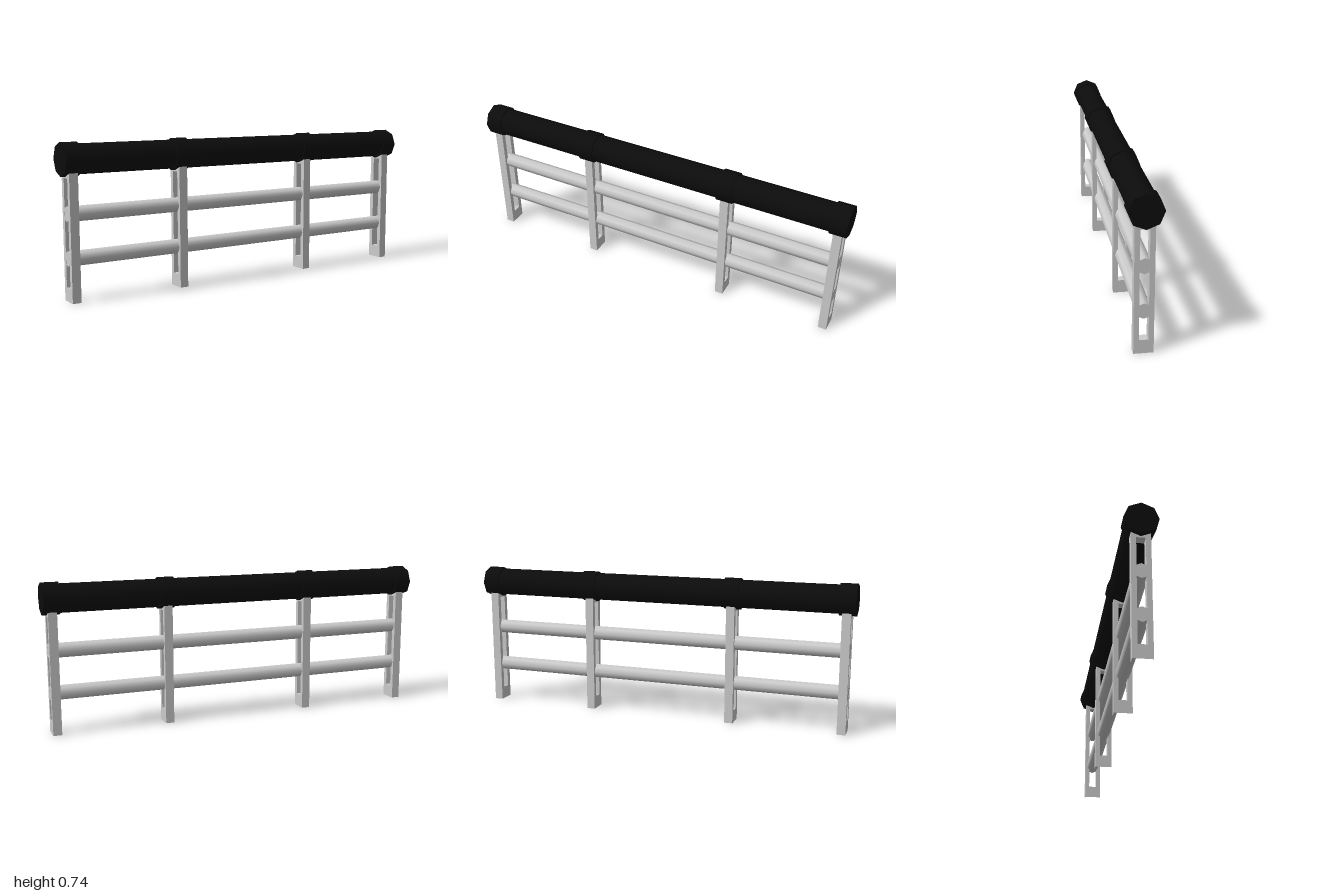
import * as THREE from 'three';

const SIDES = 8;
const POST_X = [-0.955, -0.385, 0.385, 0.955];
const POST_WIDTH = 0.043;
const HANDRAIL_Y = 0.664;

const metal = new THREE.MeshStandardMaterial({ color: 0xcccccc });
const black = new THREE.MeshStandardMaterial({ color: 0x0c0c0c });

// Eight-sided bar lying along x, with a corner at the top
function bar(name, radius, length, x, y, material) {
  const geometry = new THREE.CylinderGeometry(radius, radius, length, SIDES);
  geometry.rotateZ(Math.PI / 2);
  const mesh = new THREE.Mesh(geometry, material);
  mesh.name = name;
  mesh.position.set(x, y, 0);
  return mesh;
}

function rectangle(path, halfWidth, bottom, top) {
  path.moveTo(-halfWidth, bottom);
  path.lineTo(halfWidth, bottom);
  path.lineTo(halfWidth, top);
  path.lineTo(-halfWidth, top);
  path.closePath();
  return path;
}

// Flat post with one long slot, hollow and open at the foot
function postGeometry() {
  const shape = rectangle(new THREE.Shape(), 0.0445, 0, 0.606);
  shape.holes.push(rectangle(new THREE.Path(), 0.021, 0.065, 0.578));
  const solid = new THREE.ExtrudeGeometry(shape, { depth: POST_WIDTH, bevelEnabled: false });
  solid.translate(0, 0, -POST_WIDTH / 2);
  solid.rotateY(Math.PI / 2);

  // Drop the triangles lying on the ground
  const source = solid.getAttribute('position');
  const kept = [];
  for (let i = 0; i < source.count; i += 3) {
    const corners = [i, i + 1, i + 2];
    if (corners.every((c) => source.getY(c) < 1e-4)) continue;
    for (const c of corners) kept.push(source.getX(c), source.getY(c), source.getZ(c));
  }
  const geometry = new THREE.BufferGeometry();
  geometry.setAttribute('position', new THREE.Float32BufferAttribute(kept, 3));
  geometry.computeVertexNormals();
  return geometry;
}

export function createModel() {
  const group = new THREE.Group();
  group.name = 'railing';

  // Padded handrail
  group.add(bar('handrail', 0.071, 1.99, 0, HANDRAIL_Y, black));

  // Posts, each topped by a collar around the handrail
  const geometry = postGeometry();
  for (const x of POST_X) {
    const post = new THREE.Mesh(geometry, metal);
    post.name = 'post';
    post.position.x = x;
    group.add(post);
    const collarX = Math.sign(x) * (Math.abs(x) + 0.0025);
    group.add(bar('collar', 0.079, 0.085, collarX, HANDRAIL_Y, black));
  }

  // Cross rails running through the post slots, ending level with the outer posts
  for (const y of [0.2035, 0.4125]) {
    group.add(bar('crossRail', 0.0365, 1.952, 0, y, metal));
  }

  return group;
}
